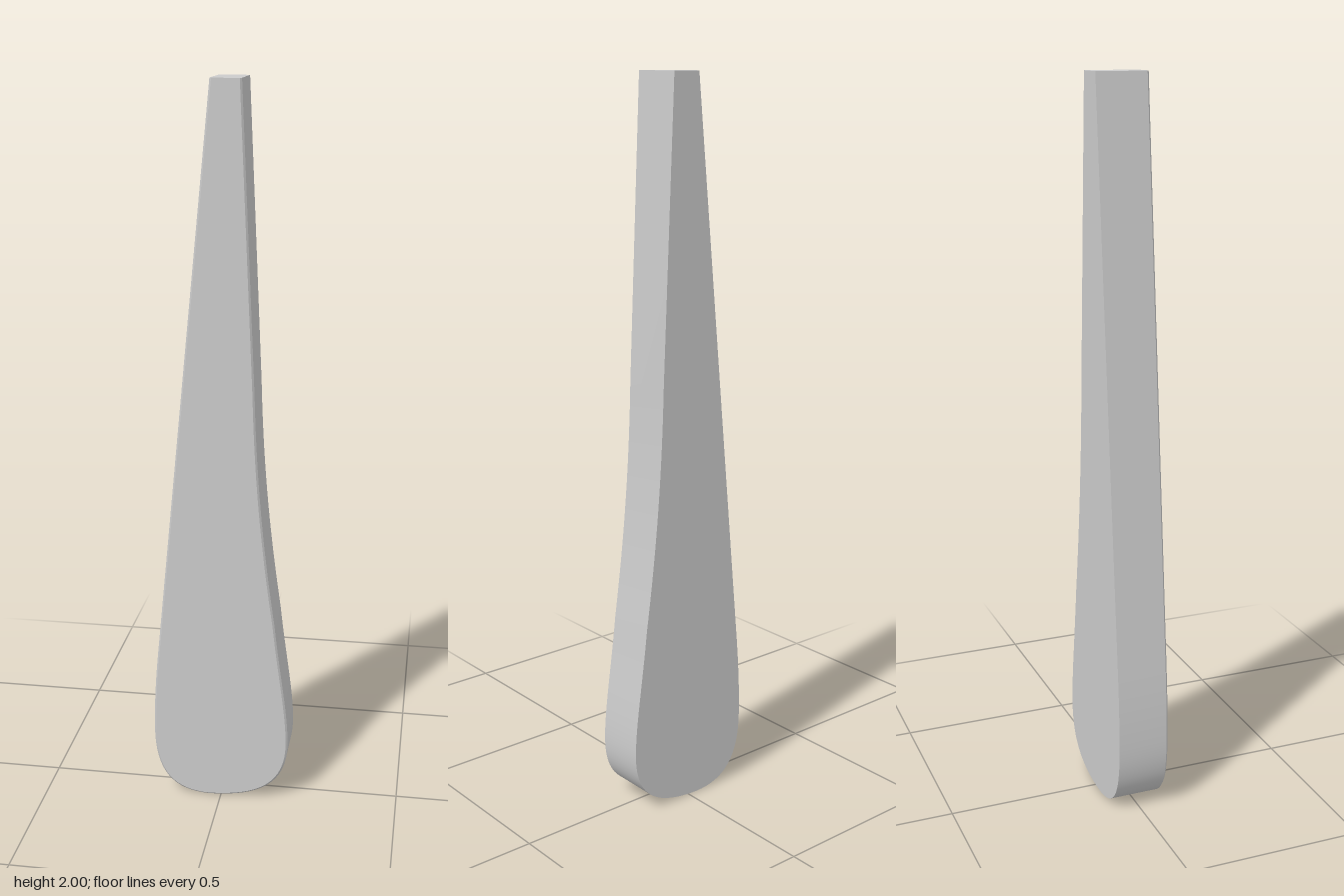
import * as THREE from 'three';
import { toCreasedNormals } from 'three/addons/utils/BufferGeometryUtils.js';

const HALF_DEPTH = 0.0725;
const BEVEL = 0.005;

// Tapered paddle outline, counter-clockwise from the top left corner
function bladeOutline() {
  const s = new THREE.Shape();
  s.moveTo(-0.027, 2);
  s.lineTo(-0.176, 0.46);
  s.bezierCurveTo(-0.185, 0.37, -0.191, 0.29, -0.191, 0.2);
  s.bezierCurveTo(-0.191, 0.06, -0.14, 0, -0.03, 0);
  s.bezierCurveTo(0.11, 0.004, 0.191, 0.05, 0.191, 0.18);
  s.bezierCurveTo(0.191, 0.27, 0.168, 0.38, 0.15, 0.54);
  s.bezierCurveTo(0.122, 0.73, 0.098, 0.93, 0.09, 1.2);
  s.lineTo(0.054, 2);
  s.closePath();
  return s;
}

export function createModel() {
  const group = new THREE.Group();
  group.name = 'taperedBlade';

  let geometry = new THREE.ExtrudeGeometry(bladeOutline(), {
    depth: 2, steps: 2, bevelEnabled: false, curveSegments: 16,
  });

  // Set the depth layers and pull the front rim in for a fine bevel; the cut top stays flat
  const layers = [-HALF_DEPTH, HALF_DEPTH - BEVEL, HALF_DEPTH];
  const pos = geometry.attributes.position;
  const inward = new THREE.Vector2();
  for (let i = 0; i < pos.count; i++) {
    const layer = Math.round(pos.getZ(i));
    const x = pos.getX(i), y = pos.getY(i);
    if (layer === 2) {
      inward.set(0.005 - x, Math.max(0, 0.19 - y)).setLength(BEVEL);
      pos.setXY(i, x + inward.x, y + inward.y);
    }
    pos.setZ(i, layers[layer]);
  }
  geometry = toCreasedNormals(geometry, 0.5);

  const blade = new THREE.Mesh(geometry, new THREE.MeshStandardMaterial({ color: 0xcccccc }));
  blade.name = 'blade';
  group.add(blade);
  return group;
}
